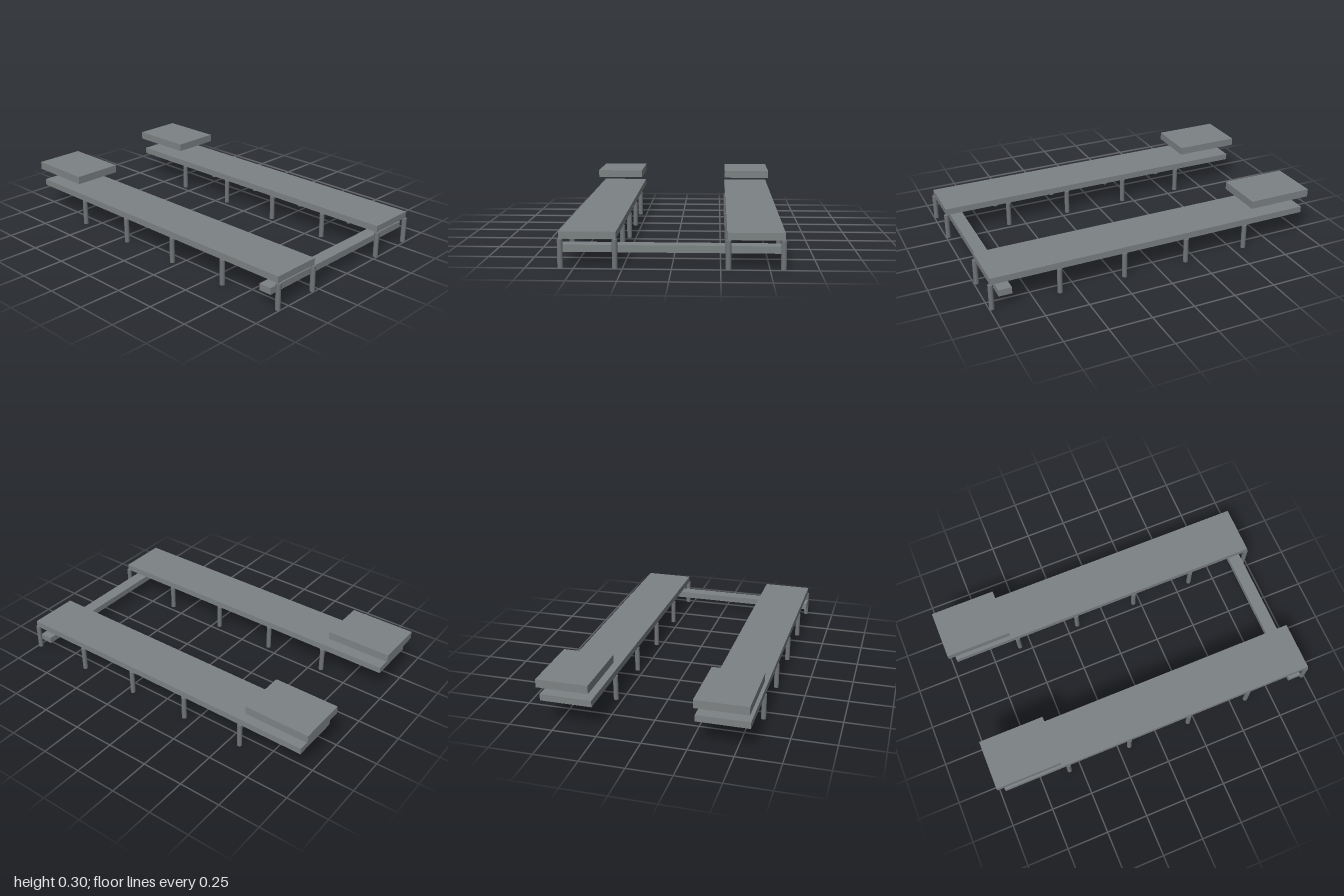
import * as THREE from 'three';

export function createModel() {
  const model = new THREE.Group();
  const slate = new THREE.MeshStandardMaterial({ color: 0x7d8284 });
  const postSlate = new THREE.MeshStandardMaterial({ color: 0x707476 });

  // Box given by its lower and upper corners
  function slab(name, [x0, y0, z0], [x1, y1, z1]) {
    const mesh = new THREE.Mesh(new THREE.BoxGeometry(x1 - x0, y1 - y0, z1 - z0), slate);
    mesh.name = name;
    mesh.position.set((x0 + x1) / 2, (y0 + y1) / 2, (z0 + z1) / 2);
    model.add(mesh);
  }

  const postHeight = 0.149;
  const postGeometry = new THREE.CylinderGeometry(0.0145, 0.0145, postHeight, 20);

  for (const [side, x] of [['left', 0.429], ['right', -0.429]]) {
    // Long walkway and the raised platform over its back end
    slab(side + 'Deck', [x - 0.147, 0.152, -0.962], [x + 0.147, 0.19, 0.988]);
    slab(side + 'RaisedPlatform', [x - 0.147, 0.25, -1], [x + 0.147, 0.297, -0.61]);

    // Two rows of five round posts under the deck edges
    const posts = new THREE.Group();
    posts.name = side + 'Posts';
    for (const dx of [-0.14, 0.14]) {
      for (let i = 0; i < 5; i++) {
        const post = new THREE.Mesh(postGeometry, postSlate);
        post.name = 'post';
        post.position.set(x + dx, postHeight / 2, 0.9855 - i * 0.389);
        posts.add(post);
      }
    }
    model.add(posts);
  }

  // Low beam joining the two walkways at the front
  slab('crossBeam', [-0.584, 0.075, 0.872], [0.584, 0.113, 0.948]);

  return model;
}
